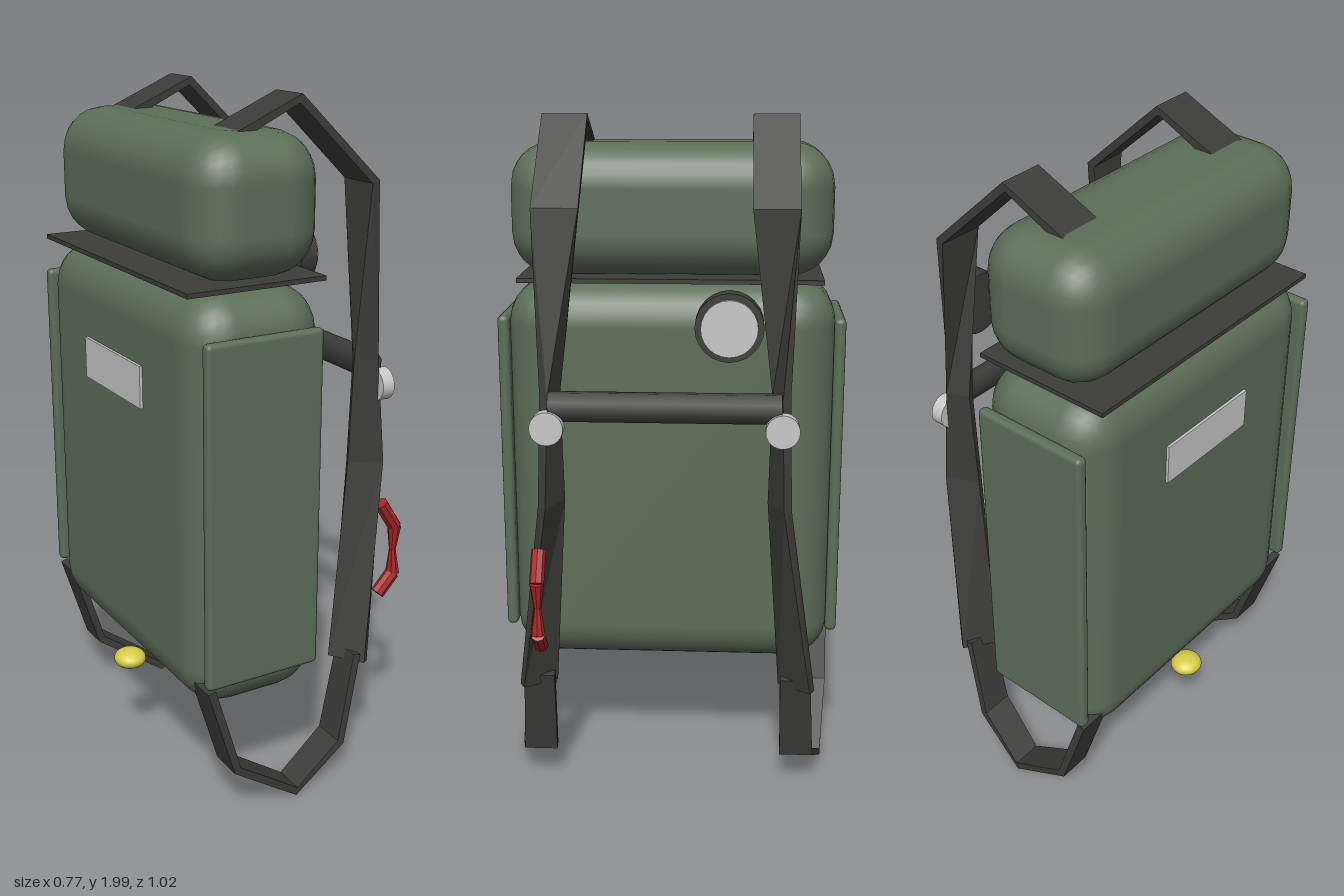
import * as THREE from 'three';
import { RoundedBoxGeometry } from 'three/addons/geometries/RoundedBoxGeometry.js';

const material = (name, color, flatShading = false) => {
  const m = new THREE.MeshStandardMaterial({ color, flatShading });
  m.name = name;
  return m;
};

// Flat band through stations [x, y, z, half width in x, half width in z]
function bandGeometry(stations, thickness, side) {
  const points = stations.map(([x, y, z]) => new THREE.Vector3(x, y, z * side));
  const last = points.length - 1;
  const rings = points.map((p, i) => {
    const t = points[Math.min(i + 1, last)].clone().sub(points[Math.max(i - 1, 0)]);
    const w = new THREE.Vector3(stations[i][3], 0, stations[i][4] * side);
    const n = t.cross(w).normalize().multiplyScalar(thickness / 2);
    return [[1, 1], [-1, 1], [-1, -1], [1, -1]].map(([a, b]) =>
      p.clone().addScaledVector(w, a).addScaledVector(n, b));
  });
  const corners = [];
  const quad = (a, b, c, d) => corners.push(a, b, c, a, c, d);
  for (let i = 0; i < last; i++) {
    for (let j = 0; j < 4; j++) {
      const k = (j + 1) % 4;
      quad(rings[i][j], rings[i][k], rings[i + 1][k], rings[i + 1][j]);
    }
  }
  const [s, e] = [rings[0], rings[last]];
  quad(s[0], s[3], s[2], s[1]);
  quad(e[0], e[1], e[2], e[3]);
  const geometry = new THREE.BufferGeometry().setFromPoints(corners);
  geometry.computeVertexNormals();
  return geometry;
}

export function createModel() {
  const model = new THREE.Group();
  model.name = 'backpack';
  const green = material('canvas green', 0x5c6e58);
  const dark = material('webbing grey', 0x3c3c38);
  const light = material('light metal', 0xc8c8c8);
  const red = material('handle red', 0xa82424, true);
  const yellow = material('valve yellow', 0xd6cc4a);

  const add = (name, geometry, mat, x = 0, y = 0, z = 0) => {
    const mesh = new THREE.Mesh(geometry, mat);
    mesh.name = name;
    mesh.position.set(x, y, z);
    model.add(mesh);
    return mesh;
  };
  const disc = (name, radius, x0, x1, y, z, mat) =>
    add(name, new THREE.CylinderGeometry(radius, radius, x1 - x0, 24).rotateZ(-Math.PI / 2),
      mat, (x0 + x1) / 2, y, z);

  // Pack body, top roll and the plate between them
  add('packBody', new RoundedBoxGeometry(0.407, 1.175, 0.965, 3, 0.125), green, -0.163, 0.933, 0);
  add('topRoll', new RoundedBoxGeometry(0.38, 0.38, 0.936, 3, 0.125), green, -0.147, 1.725, 0);
  add('lidPlate', new THREE.BoxGeometry(0.413, 0.013, 0.88), dark, -0.163, 1.532, 0);

  // Label plate on the outer face
  add('labelPlate', new THREE.BoxGeometry(0.009, 0.12, 0.35), light, -0.37, 1.225, 0);

  // Stations of the shoulder strap, from the roll down, and of the loop under the pack
  const shoulder = [
    [-0.19, 1.895, 0.295, 0, 0.064], [0.01, 1.985, 0.295, 0, 0.064],
    [0.249, 1.755, 0.297, 0.002, 0.064], [0.266, 1.25, 0.319, 0.032, 0.014],
    [0.275, 0.94, 0.32, 0.047, 0.022], [0.19, 0.35, 0.383, 0.033, 0.046],
  ];
  const loop = [
    [0.195, 0.38, 0.38, 0, 0.045], [0.135, 0.11, 0.39, 0, 0.05],
    [-0.04, 0.018, 0.428, 0, 0.046], [-0.253, 0.17, 0.447, 0, 0.05],
    [-0.335, 0.44, 0.447, 0, 0.05],
  ];

  for (const side of [1, -1]) {
    const word = side > 0 ? 'left' : 'right';
    add(word + 'SidePanel', new RoundedBoxGeometry(0.35, 0.97, 0.034, 2, 0.014),
      green, -0.177, 0.935, side * 0.492);
    add(word + 'ShoulderStrap', bandGeometry(shoulder, 0.024, side), dark);
    add(word + 'LowerStrap', bandGeometry(loop, 0.024, side), dark);
    disc(word + 'Buckle', 0.047, 0.295, 0.334, 1.17, side * 0.323, light);
  }

  // Chest strap joining the shoulder straps
  const chest = new THREE.CylinderGeometry(1, 1, 0.64, 8).rotateX(Math.PI / 2)
    .rotateZ(Math.PI / 8).scale(0.03, 0.044, 1);
  add('chestStrap', chest, dark, 0.293, 1.225, 0);

  // Round gauge with a pale face
  disc('gaugeCase', 0.092, 0.308, 0.366, 1.46, -0.175, dark);
  disc('gaugeFace', 0.076, 0.36, 0.379, 1.46, -0.175, light);

  // Bent pull handle, thinner in the middle: [x, y, radius]
  const grip = [[0.312, 0.812, 0.021], [0.365, 0.73, 0.021], [0.362, 0.655, 0.01],
    [0.365, 0.578, 0.021], [0.312, 0.522, 0.021]];
  for (let i = 0; i < grip.length - 1; i++) {
    const [x0, y0, r0] = grip[i];
    const [x1, y1, r1] = grip[i + 1];
    const link = add('pullHandle', new THREE.CylinderGeometry(r0, r1, Math.hypot(x1 - x0, y1 - y0), 8),
      red, (x0 + x1) / 2, (y0 + y1) / 2, 0.355);
    link.rotation.z = Math.atan2(x1 - x0, y0 - y1);
  }

  // Small knob under the outer edge
  add('bottomKnob', new THREE.SphereGeometry(1, 20, 14).scale(0.048, 0.029, 0.05), yellow, -0.341, 0.316, 0);

  return model;
}
